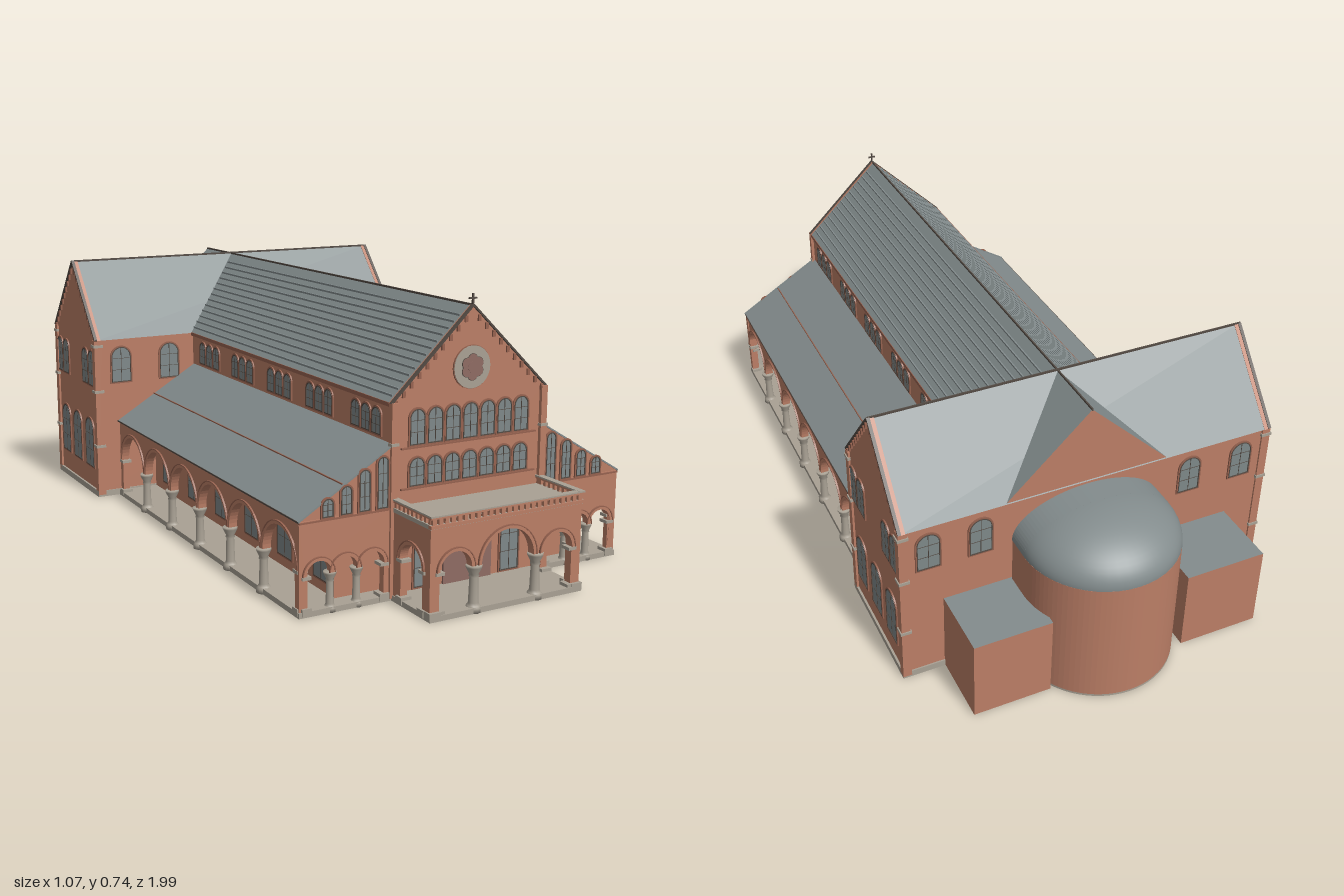
import * as THREE from 'three';

const mat = (name, hex) => Object.assign(new THREE.MeshStandardMaterial({ color: hex }), { name });

export function createModel() {
  const brick = mat('brick', 0xbb7e66), trim = mat('darkBrick', 0x96624f), roof = mat('slate', 0x838c8d),
    stone = mat('stone', 0xa9a194), glass = mat('glass', 0x7e8889), dark = mat('darkMetal', 0x544b44),
    door = mat('door', 0x8f6b63);
  const model = new THREE.Group();
  model.name = 'church';
  const group = (name, parent = model, x = 0, y = 0, z = 0, ry = 0) => {
    const g = new THREE.Group();
    g.name = name; g.position.set(x, y, z); g.rotation.y = ry; parent.add(g);
    return g;
  };
  const add = (p, name, geo, m, x = 0, y = 0, z = 0, ry = 0) => {
    const o = new THREE.Mesh(geo, m);
    o.name = name; o.position.set(x, y, z); o.rotation.y = ry; p.add(o);
    return o;
  };
  // Box given by its limits
  const block = (p, name, m, x0, x1, y0, y1, z0, z1) =>
    add(p, name, new THREE.BoxGeometry(x1 - x0, y1 - y0, z1 - z0), m, (x0 + x1) / 2, (y0 + y1) / 2, (z0 + z1) / 2);
  const extrude = (shape, depth, seg = 8) => new THREE.ExtrudeGeometry(shape, { depth, bevelEnabled: false, curveSegments: seg });
  const poly = pts => new THREE.Shape(pts.map(p => new THREE.Vector2(p[0], p[1])));
  const archShape = (w, h, Type = THREE.Shape, y0 = 0) => {
    const s = new Type(), r = w / 2;
    s.moveTo(-r, y0); s.lineTo(r, y0); s.lineTo(r, h - r);
    s.absarc(0, h - r, r, 0, Math.PI, false); s.lineTo(-r, y0);
    return s;
  };

  // Round-headed window: glass, brick surround and glazing bars
  const cache = {};
  const windowAt = (p, x, y, z, ry, w, h) => {
    const key = w + '_' + h;
    if (!cache[key]) {
      const ring = (a, b) => {
        const s = archShape(w + a * 2, h + a, THREE.Shape, -a);
        s.holes.push(archShape(w - b * 2, h - b, THREE.Path, b));
        return s;
      };
      cache[key] = { glass: extrude(archShape(w, h), 0.003), frame: extrude(ring(0.001, 0.0015), 0.005),
        surround: extrude(ring(0.005, 0), 0.004) };
    }
    const g = group('window', p, x, y, z, ry), c = cache[key];
    add(g, 'pane', c.glass, glass);
    add(g, 'frame', c.frame, dark);
    add(g, 'surround', c.surround, trim);
    block(g, 'mullion', dark, -0.0007, 0.0007, 0, h, 0.002, 0.0042);
    for (const t of [0.35, 0.68]) block(g, 'glazingBar', dark, -w / 2, w / 2, h * t - 0.0006, h * t + 0.0006, 0.002, 0.004);
  };

  // Wall pierced by arches standing on columns; arches are [centre, radius, springing]
  const arcade = (p, name, u0, u1, top, arches, depth, x, z, ry) => {
    const g = group(name, p, x, 0, z, ry), s = new THREE.Shape(), y0 = 0.004;
    s.moveTo(u0, y0); s.lineTo(arches[0][0] - arches[0][1], y0);
    for (const [c, r, y] of arches) {
      s.lineTo(c - r, y);
      s.absarc(c, y, r, Math.PI, 0, true);
    }
    const last = arches[arches.length - 1];
    s.lineTo(last[0] + last[1], y0); s.lineTo(u1, y0); s.lineTo(u1, top); s.lineTo(u0, top);
    add(g, 'archWall', extrude(s, depth, 12), brick);
    for (const [c, r, y] of arches) for (const [r0, r1, d, m] of [[r, r + 0.008, 0.003, brick], [r + 0.008, r + 0.0105, 0.005, trim]]) {
      const a = new THREE.Shape();
      a.absarc(0, 0, r1, 0, Math.PI, false); a.absarc(0, 0, r0, Math.PI, 0, true);
      add(g, 'archBand', extrude(a, d, 12), m, c, y, depth);
    }
    for (const u of [arches[0][0] - arches[0][1], last[0] + last[1]]) {
      block(g, 'impost', stone, u - 0.012, u + 0.012, arches[0][2] - 0.008, arches[0][2], -0.003, depth + 0.005);
      block(g, 'pierBase', stone, u - 0.013, u + 0.013, 0.004, 0.022, -0.004, depth + 0.006);
    }
  };
  const column = (p, x, z, h, r) => {
    const pts = [[0, 0], [1.6, 0], [1.6, 0.1], [1.3, 0.14], [1, 0.2], [0.85, 0.74], [1.05, 0.76], [0.9, 0.8], [1.6, 0.95], [1.6, 1], [0, 1]];
    add(p, 'column', new THREE.LatheGeometry(pts.map(a => new THREE.Vector2(a[0] * r, a[1] * h)), 12), stone, x, 0, z);
  };

  const gableRoof = (half, y0, y1, len) => extrude(poly([[-half, y0], [half, y0], [0, y1]]), len);
  // Gable edging: brick parapet, sloping rims and stepped corbels
  const gableTrim = (p, x, z, ry, half, y0, y1, parapet) => {
    const g = group('gableTrim', p, x, 0, z, ry), L = Math.hypot(half, y1 - y0), a = Math.atan2(y1 - y0, half);
    add(g, 'parapet', gableRoof(half + 0.001, y0, y1 + 0.001, parapet), brick, 0, 0, -parapet - 0.003);
    for (const s of [-1, 1]) {
      add(g, 'rim', new THREE.BoxGeometry(L, 0.005, 0.009), dark, s * half / 2, (y0 + y1) / 2, 0.0015).rotation.z = -s * a;
      for (let i = 0; i < 10; i++) {
        const t = (i + 0.6) / 10.5;
        block(g, 'corbel', trim, s * half * (1 - t) - 0.004, s * half * (1 - t) + 0.004,
          y0 + (y1 - y0) * t - 0.022, y0 + (y1 - y0) * t - 0.006, 0, 0.005);
      }
    }
  };

  // Nave: everything here is symmetrical about its own axis
  const nave = group('nave', model, 0.016);
  block(nave, 'naveWalls', brick, -0.222, 0.222, 0.006, 0.49, -0.72, 0.815);
  add(nave, 'naveRoof', gableRoof(0.23, 0.488, 0.708, 1.539), [brick, roof], 0, 0, -0.724);
  block(nave, 'ridge', dark, -0.002, 0.002, 0.704, 0.711, -0.724, 0.82);
  gableTrim(nave, 0, 0.815, 0, 0.23, 0.488, 0.709, 0.006);
  block(nave, 'floor', stone, -0.48, 0.48, 0, 0.014, -0.35, 0.822);
  block(nave, 'aisleWalls', brick, -0.358, 0.358, 0.006, 0.234, -0.35, 0.775);
  const bays = [0, 1, 2, 3, 4, 5].map(i => 0.717 - i * 0.1915);
  for (const s of [-1, 1]) {
    const ry = s * Math.PI / 2;
    // Lean-to roof, with the inner wall showing as a line
    const pts = [[s * 0.48, 0.235], [s * 0.222, 0.39], [s * 0.222, 0.235]];
    add(nave, 'aisleRoof', extrude(poly(pts), 1.168), [brick, roof], 0, 0, -0.35);
    block(nave, 'aisleRoofLine', trim, s * 0.358 - 0.0015, s * 0.358 + 0.0015, 0.3, 0.3105, -0.35, 0.815);
    block(nave, 'aisleEave', dark, s * 0.478 - 0.002, s * 0.478 + 0.002, 0.232, 0.236, -0.35, 0.819);
    const rim = add(nave, 'aisleRim', new THREE.BoxGeometry(0.301, 0.004, 0.006), roof, s * 0.351, 0.313, 0.818);
    rim.rotation.z = -s * Math.atan2(0.155, 0.258);
    // Side arcade
    arcade(nave, 'sideArcade', s > 0 ? -0.818 : -0.345, s > 0 ? 0.345 : 0.818, 0.233,
      bays.map(z => [-z * s, 0.086, 0.115]).sort((a, b) => a[0] - b[0]), 0.02, s * 0.455, 0, ry);
    bays.forEach((z, i) => {
      windowAt(nave, s * 0.358, 0.045, z, ry, 0.076, 0.145);
      if (i < 5) column(nave, s * 0.47, z - 0.0957, 0.115, 0.012);
    });
    // Clerestory windows in groups of three
    for (const z of [0.695, 0.46, 0.235, 0.005, -0.225])
      for (const d of [-0.049, 0, 0.049]) windowAt(nave, s * 0.222, 0.402, z + d, ry, 0.038, 0.064);
    block(nave, 'eave', trim, s * 0.226 - 0.004, s * 0.226 + 0.004, 0.48, 0.49, -0.35, 0.815);
    // Slate courses on the main roof
    for (let i = 0; i < 13; i++) {
      const y = 0.505 + i * 0.015, x = s * 0.23 * (0.71 - y) / 0.22;
      block(nave, 'roofCourse', roof, x - 0.002, x + 0.002, y - 0.006, y + 0.0012, -0.35 - (y - 0.49) * 0.8, 0.8);
    }
    // Aisle fronts
    const arches = [0.279, 0.353, 0.425].map(c => [s * c, 0.034, 0.1]).sort((a, b) => a[0] - b[0]);
    arcade(nave, 'aisleFront', s > 0 ? 0.222 : -0.478, s > 0 ? 0.478 : -0.222, 0.234, arches, 0.02, 0, 0.7985, 0);
    for (const c of [0.316, 0.389]) column(nave, s * c, 0.808, 0.1, 0.01);
    [0.125, 0.1, 0.067, 0.043].forEach((h, i) => windowAt(nave, s * (0.252 + i * 0.05), 0.238, 0.818, 0, 0.028, h));
    block(nave, 'aisleCourse', trim, s * 0.35 - 0.128, s * 0.35 + 0.128, 0.229, 0.233, 0.815, 0.822);
    block(nave, 'frontPilaster', brick, s * 0.222 - 0.009, s * 0.222 + 0.009, 0.006, 0.49, 0.81, 0.825);
    block(nave, 'pilasterCap', stone, s * 0.222 - 0.011, s * 0.222 + 0.011, 0.386, 0.393, 0.81, 0.828);
    windowAt(nave, s * 0.13, 0.02, 0.815, 0, 0.056, 0.14);
  }

  // West front: two rows of windows, string courses, rose, cross and door
  for (let i = -3; i <= 3; i++) {
    windowAt(nave, i * 0.0515, 0.382, 0.815, 0, 0.041, 0.086);
    windowAt(nave, i * 0.0515, 0.28, 0.815, 0, 0.041, 0.068);
  }
  for (const y of [0.375, 0.274]) block(nave, 'stringCourse', trim, -0.2, 0.2, y - 0.002, y + 0.002, 0.813, 0.822);
  const rose = group('roseWindow', nave, 0, 0.557, 0.815);
  const disc = (name, r, d, m, x = 0, y = 0) => {
    add(rose, name, new THREE.CylinderGeometry(r, r, d, 28), m, x, y, d / 2).rotation.x = Math.PI / 2;
  };
  disc('roseEdge', 0.0545, 0.004, trim);
  disc('roseRing', 0.053, 0.006, stone);
  for (let i = 0; i < 6; i++) {
    const a = i * Math.PI / 3 + Math.PI / 6, x = Math.cos(a) * 0.019, y = Math.sin(a) * 0.019;
    disc('petalEdge', 0.015, 0.007, dark, x, y);
    disc('petal', 0.0138, 0.008, door, x, y);
  }
  disc('roseCentre', 0.014, 0.009, door);
  block(nave, 'crossPost', dark, -0.002, 0.002, 0.705, 0.737, 0.813, 0.818);
  block(nave, 'crossArm', dark, -0.011, 0.011, 0.723, 0.727, 0.813, 0.818);
  add(nave, 'door', extrude(archShape(0.145, 0.195), 0.006), door, 0, 0.005, 0.815);

  // Porch with balustraded terrace
  const porch = group('porch', nave);
  block(porch, 'porchFloor', stone, -0.225, 0.225, 0, 0.014, 0.822, 0.99);
  arcade(porch, 'porchFront', -0.222, 0.222, 0.232, [[-0.15, 0.045, 0.117], [0, 0.077, 0.117], [0.15, 0.045, 0.117]], 0.02, 0, 0.962, 0);
  block(porch, 'terrace', stone, -0.224, 0.224, 0.224, 0.2345, 0.815, 0.984);
  for (const s of [-1, 1]) {
    arcade(porch, 'porchSide', s > 0 ? -0.98 : 0.815, s > 0 ? -0.815 : 0.98, 0.232, [[-s * 0.904, 0.047, 0.117]], 0.02, s > 0 ? 0.202 : -0.202, 0, s * Math.PI / 2);
    column(porch, s * 0.091, 0.973, 0.117, 0.0125);
    block(porch, 'cornerBase', stone, s * 0.21 - 0.016, s * 0.21 + 0.016, 0.003, 0.022, 0.955, 0.99);
    block(porch, 'sideRail', stone, s * 0.217 - 0.009, s * 0.217 + 0.009, 0.253, 0.257, 0.815, 0.989);
    block(porch, 'sideRailBand', brick, s * 0.217 - 0.007, s * 0.217 + 0.007, 0.248, 0.253, 0.815, 0.986);
    for (let i = 0; i < 9; i++) block(porch, 'baluster', brick, s * 0.217 - 0.004, s * 0.217 + 0.004, 0.234, 0.249, 0.825 + i * 0.018, 0.834 + i * 0.018);
  }
  block(porch, 'frontRail', stone, -0.226, 0.226, 0.253, 0.2565, 0.972, 0.989);
  block(porch, 'frontRailBand', brick, -0.224, 0.224, 0.248, 0.253, 0.974, 0.987);
  block(porch, 'cornice', brick, -0.225, 0.225, 0.226, 0.234, 0.976, 0.988);
  for (let i = -12; i <= 12; i++) block(porch, 'baluster', brick, i * 0.0178 - 0.0055, i * 0.0178 + 0.0055, 0.234, 0.249, 0.976, 0.985);

  // Transept
  const tr = group('transept', model, 0, 0, -0.537);
  block(tr, 'transeptWalls', brick, -0.526, 0.526, 0.006, 0.49, -0.183, 0.183);
  block(tr, 'plinth', stone, -0.532, 0.532, 0, 0.018, -0.187, 0.1865);
  add(tr, 'transeptRoof', gableRoof(0.189, 0.488, 0.71, 1.052), [brick, roof], -0.526, 0, 0, Math.PI / 2);
  block(tr, 'transeptRidge', dark, -0.53, 0.53, 0.707, 0.713, -0.002, 0.002);
  for (const s of [-1, 1]) {
    const ry = s * Math.PI / 2;
    gableTrim(tr, s * 0.526, 0, ry, 0.189, 0.488, 0.711, 0.011);
    for (const z of [-0.148, -0.09, 0.09, 0.148]) windowAt(tr, s * 0.526, 0.345, z, ry, 0.048, 0.106);
    for (const z of [-0.108, 0, 0.112]) windowAt(tr, s * 0.526, 0.085, z, ry, 0.068, 0.15);
    for (const x of s > 0 ? [0.312, 0.453] : [-0.289, -0.447]) {
      windowAt(tr, x, 0.356, 0.183, 0, 0.06, 0.106);
      windowAt(tr, x, 0.356, -0.183, Math.PI, 0.06, 0.106);
    }
    for (const t of [-1, 1]) {
      block(tr, 'cornerPilaster', brick, s * 0.52 - 0.012, s * 0.52 + 0.012, 0.006, 0.488, t * 0.177 - 0.011, t * 0.177 + 0.011);
      for (const y of [0.16, 0.33, 0.47])
        block(tr, 'pilasterBand', stone, s * 0.52 - 0.015, s * 0.52 + 0.015, y - 0.004, y + 0.004, t * 0.177 - 0.014, t * 0.177 + 0.014);
    }
  }

  // Apse with half-dome, and two low annexes
  const apse = group('apse', model, 0.014, 0, -0.789);
  const plan = new THREE.Shape();
  plan.moveTo(0.211, -0.065); plan.lineTo(0.211, 0); plan.absarc(0, 0, 0.211, 0, Math.PI, false); plan.lineTo(-0.211, -0.065);
  add(apse, 'apseWall', extrude(plan, 0.356, 24), brick, 0, 0.006, 0).rotation.x = -Math.PI / 2;
  add(apse, 'apseFloor', extrude(plan, 0.006, 24), stone).rotation.x = -Math.PI / 2;
  const dome = add(apse, 'dome', new THREE.SphereGeometry(0.211, 48, 16, 0, Math.PI * 2, 0, Math.PI / 2), roof, 0, 0.362, 0);
  dome.scale.y = 0.54;
  const vault = new THREE.Shape();
  vault.absellipse(0, 0, 0.211, 0.114, 0, Math.PI, false);
  add(apse, 'vault', extrude(vault, 0.09, 24), roof, 0, 0.362, 0);
  const annexMats = [brick, brick, roof, stone, brick, brick];
  block(model, 'annexRight', annexMats, -0.419, -0.19, 0.001, 0.235, -0.91, -0.71);
  block(model, 'annexLeft', annexMats, 0.2, 0.414, 0.001, 0.235, -0.91, -0.71);
  return model;
}
